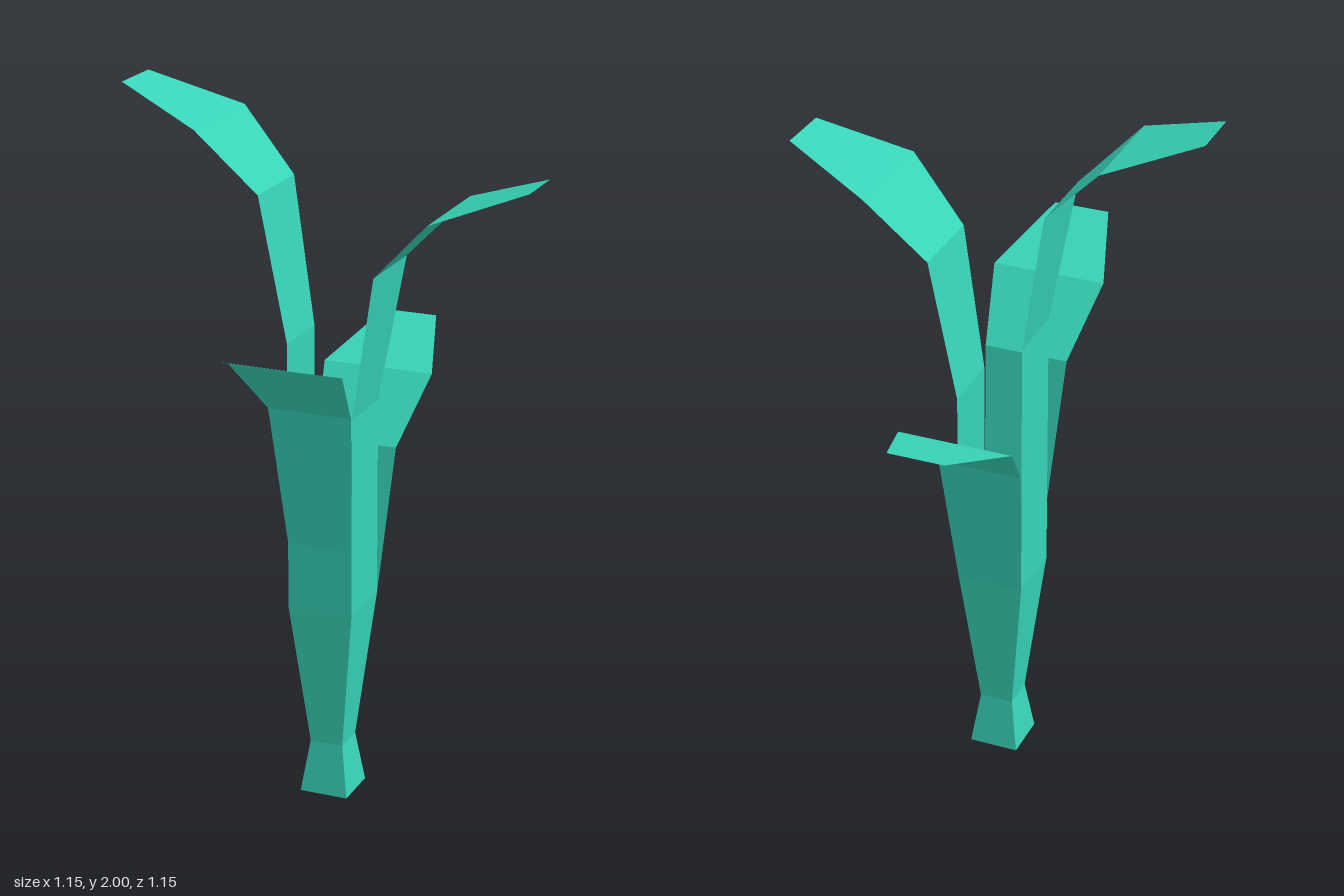
import * as THREE from 'three';

const material = new THREE.MeshStandardMaterial({
  color: 0x37d4b7, flatShading: true, side: THREE.DoubleSide,
});

const STEM_TOP = 0.57;
const STEM_HALF = 0.094;

// Square stem: flared foot, narrow neck, widening to the top cap
function createStem() {
  const outline = [[0, 0], [0.07, 0], [0.048, 0.15], [STEM_HALF, STEM_TOP], [0, STEM_TOP]];
  const points = outline.map(([half, y]) => new THREE.Vector2(half * Math.SQRT2, y));
  const stem = new THREE.Mesh(new THREE.LatheGeometry(points, 4, Math.PI / 4), material);
  stem.name = 'stem';
  return stem;
}

// Thin leaf rising straight from one stem edge to bendY, then arching outward along +z
function createLeaf(name, bendY, angle) {
  // Cross-sections: half width, height, outward distance
  const sections = [
    [STEM_HALF, bendY, STEM_HALF],
    [0.12, bendY + 0.41, 0.164],
    [0.162, bendY + 0.58, 0.327],
    [0.08, bendY + 0.67, 0.575],
  ];
  if (bendY > STEM_TOP) sections.unshift([STEM_HALF, STEM_TOP, STEM_HALF]);

  const geometry = new THREE.PlaneGeometry(1, 1, 1, sections.length - 1);
  const position = geometry.attributes.position;
  for (let i = 0; i < position.count; i++) {
    const row = sections.length - 1 - Math.floor(i / 2);
    const [half, y, z] = sections[row];
    position.setXYZ(i, i % 2 ? half : -half, y, z);
  }
  geometry.computeVertexNormals();

  const leaf = new THREE.Mesh(geometry, material);
  leaf.name = name;
  leaf.rotation.y = angle;
  return leaf;
}

export function createModel() {
  const plant = new THREE.Group();
  plant.name = 'plant';
  plant.add(createStem());

  // Four leaves, each with its own straight length
  const leaves = [
    ['frontLeaf', 0.76, 0],
    ['leftLeaf', 1.14, Math.PI / 2],
    ['backLeaf', STEM_TOP, Math.PI],
    ['rightLeaf', 1.33, -Math.PI / 2],
  ];
  for (const [name, bendY, angle] of leaves) plant.add(createLeaf(name, bendY, angle));
  return plant;
}
